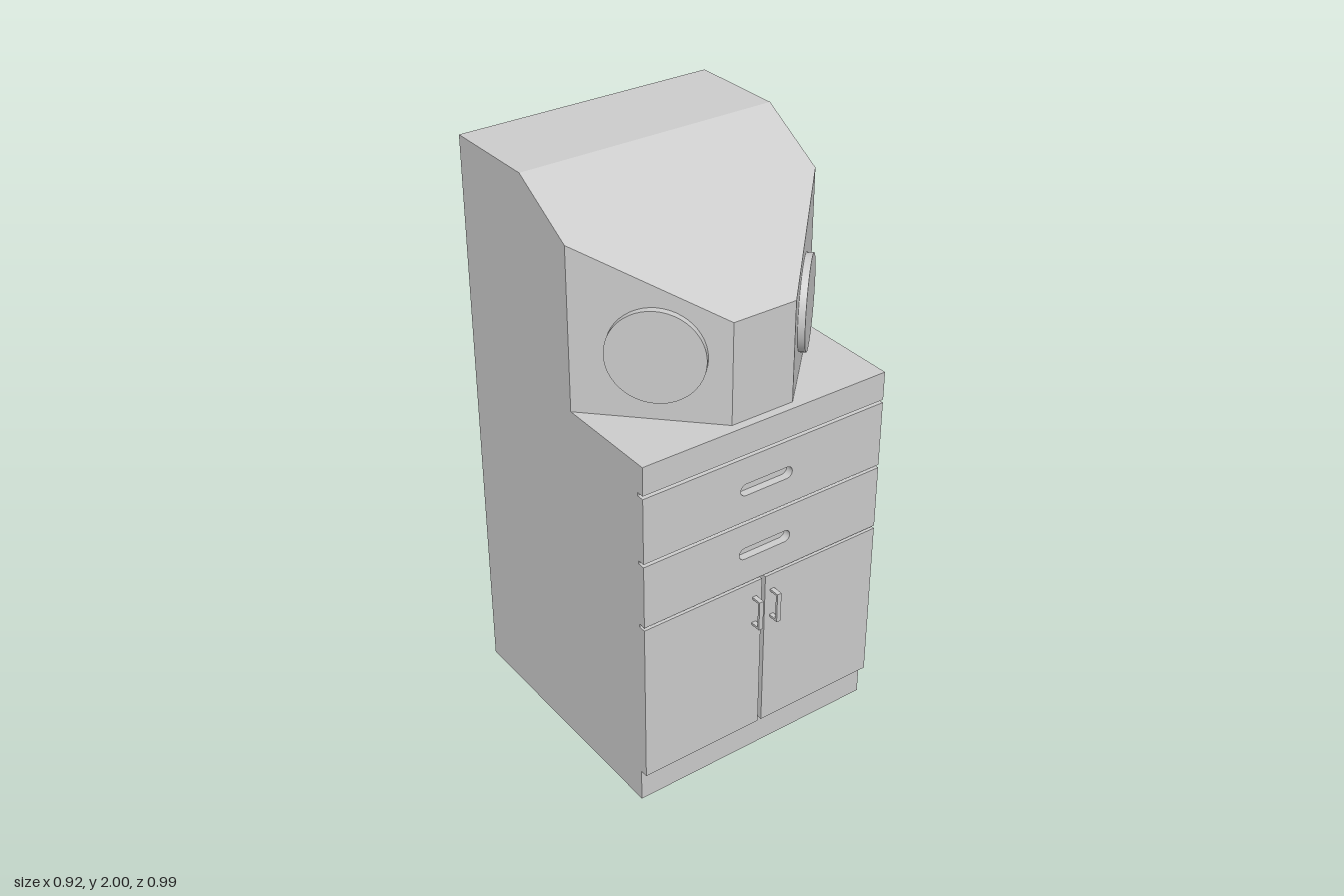
import * as THREE from 'three';
import { ConvexGeometry } from 'three/addons/geometries/ConvexGeometry.js';

const HALF = 0.46, BACK = -0.495, CARCASS = 0.43, FRONT = 0.457;

export function createModel() {
  const model = new THREE.Group();
  model.name = 'cabinet';
  const material = new THREE.MeshStandardMaterial({ color: 0xcccccc });

  const add = (name, geometry, parent = model) => {
    const mesh = new THREE.Mesh(geometry, material);
    mesh.name = name;
    parent.add(mesh);
    return mesh;
  };
  // Box given by its limits on each axis
  const block = (name, x0, x1, y0, y1, z0, z1, parent) => {
    const mesh = add(name, new THREE.BoxGeometry(x1 - x0, y1 - y0, z1 - z0), parent);
    mesh.position.set((x0 + x1) / 2, (y0 + y1) / 2, (z0 + z1) / 2);
    return mesh;
  };

  // Lower carcass, whose front shows in the grooves and toe kick
  block('carcass', -HALF, HALF, 0, 1.308, BACK, CARCASS);
  block('counterEdge', -HALF, HALF, 1.208, 1.308, CARCASS, FRONT);

  // Drawer fronts with a rounded finger slot cut through each
  const drawerFront = (y0, y1, slotY) => {
    const shape = new THREE.Shape([
      new THREE.Vector2(-HALF, y0), new THREE.Vector2(HALF, y0),
      new THREE.Vector2(HALF, y1), new THREE.Vector2(-HALF, y1),
    ]);
    const slot = new THREE.Path();
    const r = 0.021, cx = 0.1 - r;
    slot.absarc(cx, slotY, r, -Math.PI / 2, Math.PI / 2, false);
    slot.absarc(-cx, slotY, r, Math.PI / 2, Math.PI * 1.5, false);
    slot.closePath();
    shape.holes.push(slot);
    const geometry = new THREE.ExtrudeGeometry(shape, {
      depth: FRONT - CARCASS, bevelEnabled: false, curveSegments: 16,
    });
    add('drawerFront', geometry).position.z = CARCASS;
  };
  drawerFront(0.963, 1.197, 1.08);
  drawerFront(0.724, 0.952, 0.84);

  // Doors and their bracket handles
  for (const side of [-1, 1]) {
    const inner = side * 0.007, outer = side * HALF;
    block('door', Math.min(inner, outer), Math.max(inner, outer), 0.12, 0.713, CARCASS, FRONT);

    const handle = new THREE.Group();
    handle.name = 'doorHandle';
    model.add(handle);
    const x0 = side * 0.036 - 0.008, x1 = x0 + 0.016;
    block('handleGrip', x0, x1, 0.545, 0.655, 0.487, 0.495, handle);
    block('handleFoot', x0, x1, 0.545, 0.553, FRONT, 0.487, handle);
    block('handleFoot', x0, x1, 0.647, 0.655, FRONT, 0.487, handle);
  }

  // Upper housing: chamfered front corners under a sloping top
  const slopeY = z => 2 - (z + 0.15) * 0.345 / 0.577;
  const points = [];
  for (const s of [-1, 1]) {
    for (const [x, z, top] of [
      [HALF, BACK, 2], [HALF, 0.082, slopeY(0.082)], [0.115, 0.427, slopeY(0.427)],
    ]) {
      points.push(new THREE.Vector3(s * x, 1.308, z), new THREE.Vector3(s * x, top, z));
    }
    points.push(new THREE.Vector3(s * HALF, 2, -0.15));
  }
  add('upperHousing', new ConvexGeometry(points));

  // Round discs standing proud of the angled faces
  for (const side of [-1, 1]) {
    const geometry = new THREE.CylinderGeometry(0.154, 0.154, 0.026, 48);
    geometry.rotateX(Math.PI / 2);
    const disc = add('roundDisc', geometry);
    disc.rotation.y = side * Math.PI / 4;
    disc.position.set(side * 0.282, 1.53, 0.274);
  }
  return model;
}
